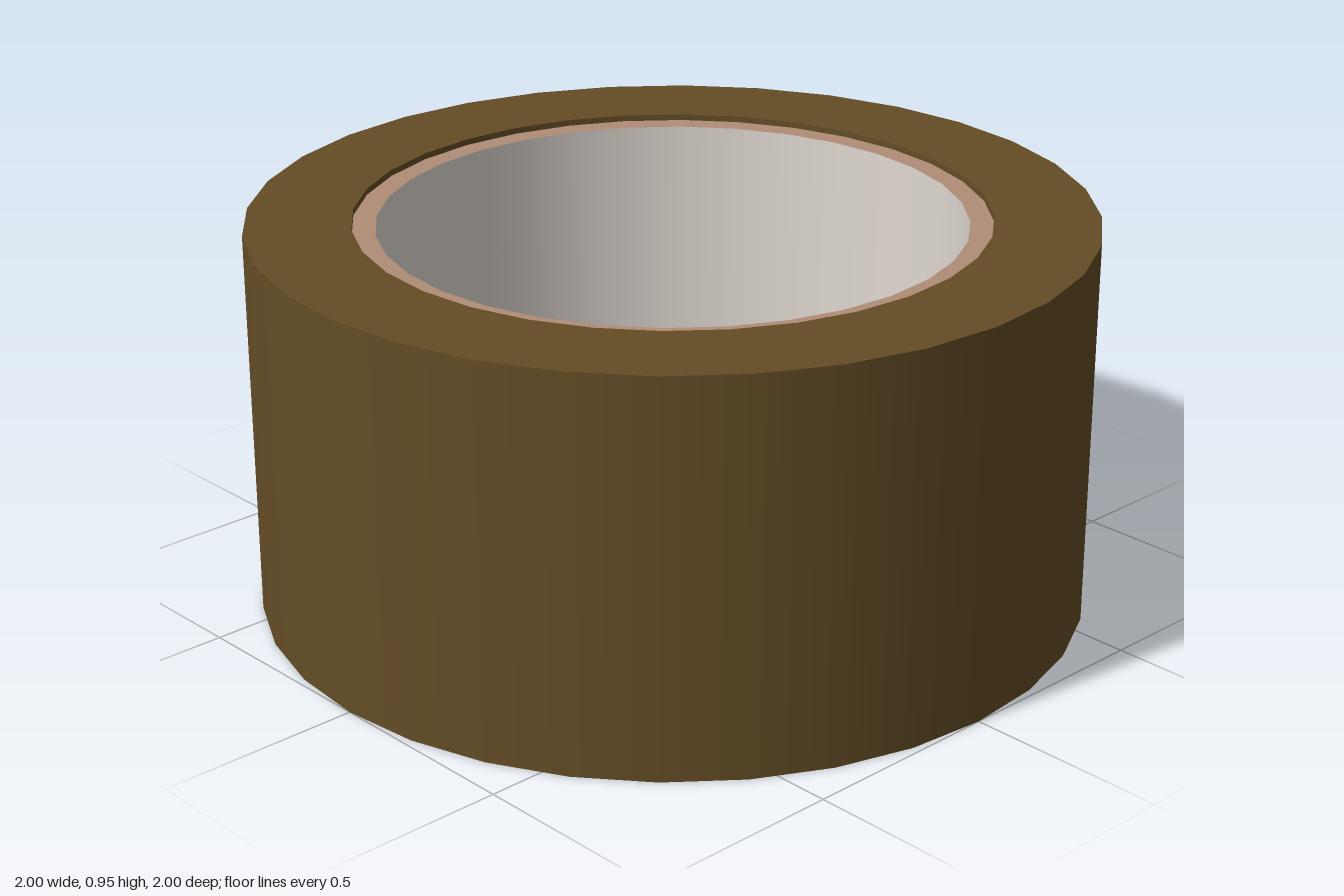
import * as THREE from 'three';
import { mergeGeometries } from 'three/addons/utils/BufferGeometryUtils.js';

const SIDES = 32;
const HEIGHT = 0.95;
const RECESS = 0.015;
const OUTER = 1, TAPE_INNER = 0.75, CORE_INNER = 0.695;

function material(name, color) {
  const m = new THREE.MeshStandardMaterial({ color });
  m.name = name;
  return m;
}

// Revolves each profile edge on its own, so walls are smooth and rims stay sharp
function revolve(name, points, mat) {
  const walls = [];
  for (let i = 0; i < points.length - 1; i++) {
    const edge = [points[i], points[i + 1]].map(([r, y]) => new THREE.Vector2(r, y));
    walls.push(new THREE.LatheGeometry(edge, SIDES));
  }
  const mesh = new THREE.Mesh(mergeGeometries(walls), mat);
  mesh.name = name;
  return mesh;
}

export function createModel() {
  const group = new THREE.Group();
  group.name = 'tapeRoll';
  const tape = material('brown tape', 0x644d26);
  const cardboard = material('cardboard', 0xb08e77);
  const paper = material('pale paper', 0xe0d8d1);
  const low = RECESS, high = HEIGHT - RECESS;

  // Wound tape: outer wall, both flat ends and inner wall
  group.add(revolve('woundTape', [
    [TAPE_INNER, 0], [OUTER, 0], [OUTER, HEIGHT], [TAPE_INNER, HEIGHT], [TAPE_INNER, 0],
  ], tape));

  // Cardboard core, slightly recessed: only its two end rims show
  group.add(revolve('coreTopRim', [[TAPE_INNER, high], [CORE_INNER, high]], cardboard));
  group.add(revolve('coreBottomRim', [[CORE_INNER, low], [TAPE_INNER, low]], cardboard));

  // Pale lining of the core, facing inward
  group.add(revolve('coreLining', [[CORE_INNER, high], [CORE_INNER, low]], paper));

  return group;
}
